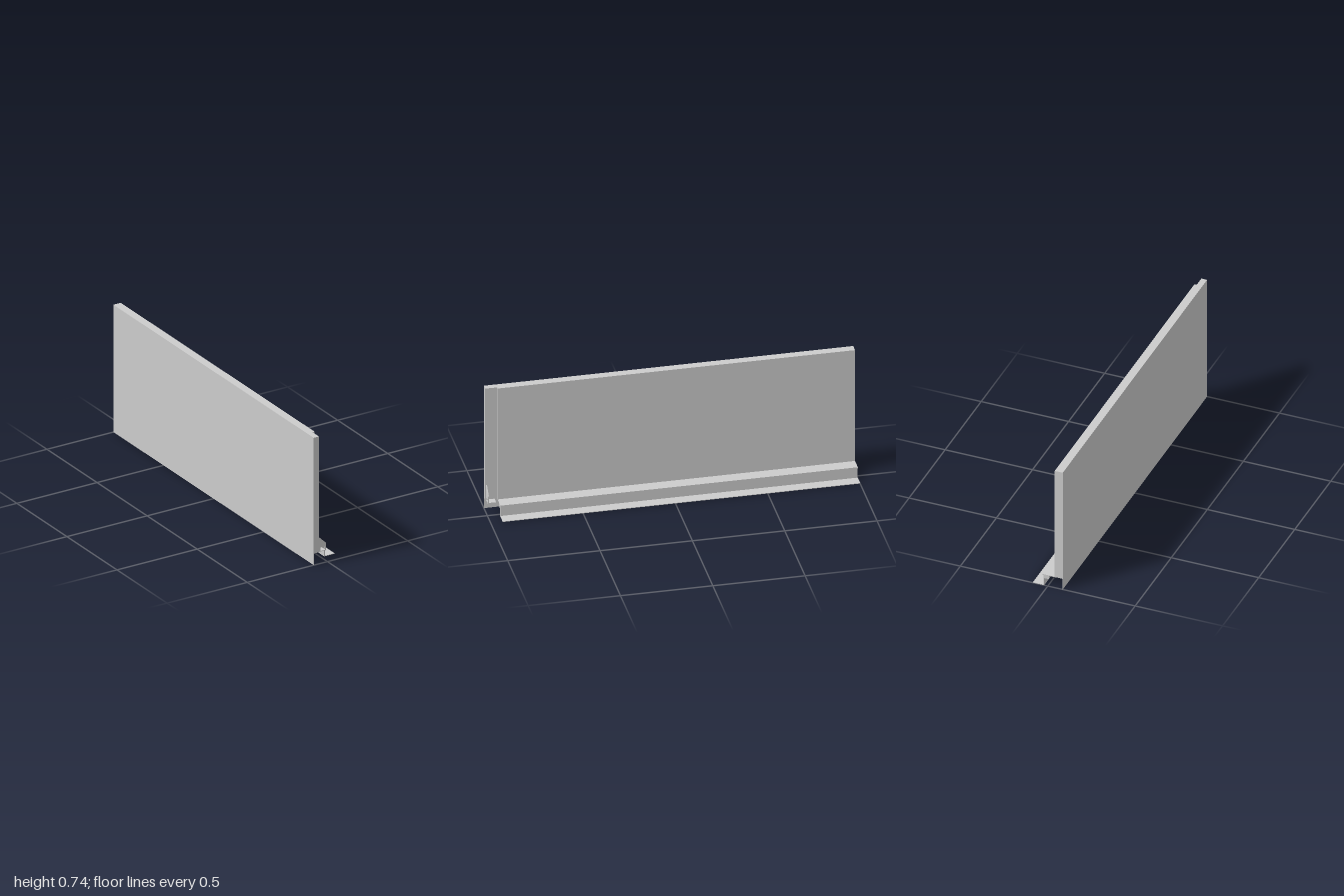
import * as THREE from 'three';

const material = new THREE.MeshStandardMaterial({ color: 0xcccccc, side: THREE.DoubleSide });

// Extrudes an x/y outline (with optional hole) between two z positions.
function profile(name, points, z0, z1, hole) {
  const toVectors = list => list.map(([x, y]) => new THREE.Vector2(x, y));
  const shape = new THREE.Shape(toVectors(points));
  if (hole) shape.holes.push(new THREE.Path(toVectors(hole)));
  const geometry = new THREE.ExtrudeGeometry(shape, { depth: z1 - z0, bevelEnabled: false });
  geometry.translate(0, 0, z0);
  const mesh = new THREE.Mesh(geometry, material);
  mesh.name = name;
  return mesh;
}

const rect = (x0, x1, y0, y1) => [[x0, y0], [x1, y0], [x1, y1], [x0, y1]];

export function createModel() {
  const group = new THREE.Group();
  group.name = 'drawerSide';
  const back = -1, front = 1, railFront = 0.935;

  group.add(
    // Tall side wall: full-length core, with a thicker inner panel set back from the front
    profile('wallCore', rect(-0.086, -0.053, 0.067, 0.74), back, front),
    profile('innerPanel', rect(-0.053, -0.04, 0.067, 0.74), back, railFront),
    // Thin outer skin hanging below the wall
    profile('outerSkirt', rect(-0.086, -0.084, 0, 0.067), back, front),
    // Thin floor joining the wall to the rail
    profile('railWeb', rect(-0.053, -0.006, 0.066, 0.069), back, railFront),
    // Stepped rail: block, overhanging lip, thin leg and bottom flange
    profile('rail', [
      [-0.006, 0.045], [0.02, 0.045], [0.02, 0], [0.085, 0], [0.085, 0.003],
      [0.024, 0.003], [0.024, 0.062], [0.03, 0.062], [0.03, 0.069], [-0.006, 0.069],
    ], back, railFront),
    // Front bracket: flared thin plate with a window, and a small foot behind it
    profile('frontBracket', [
      [-0.053, 0.067], [-0.007, 0.067], [-0.007, 0.11], [-0.053, 0.155],
    ], 0.99, 0.996, rect(-0.042, -0.012, 0.07, 0.09)),
    profile('bracketFoot', rect(-0.05, -0.01, 0.067, 0.07), 0.95, 0.99),
  );
  return group;
}
